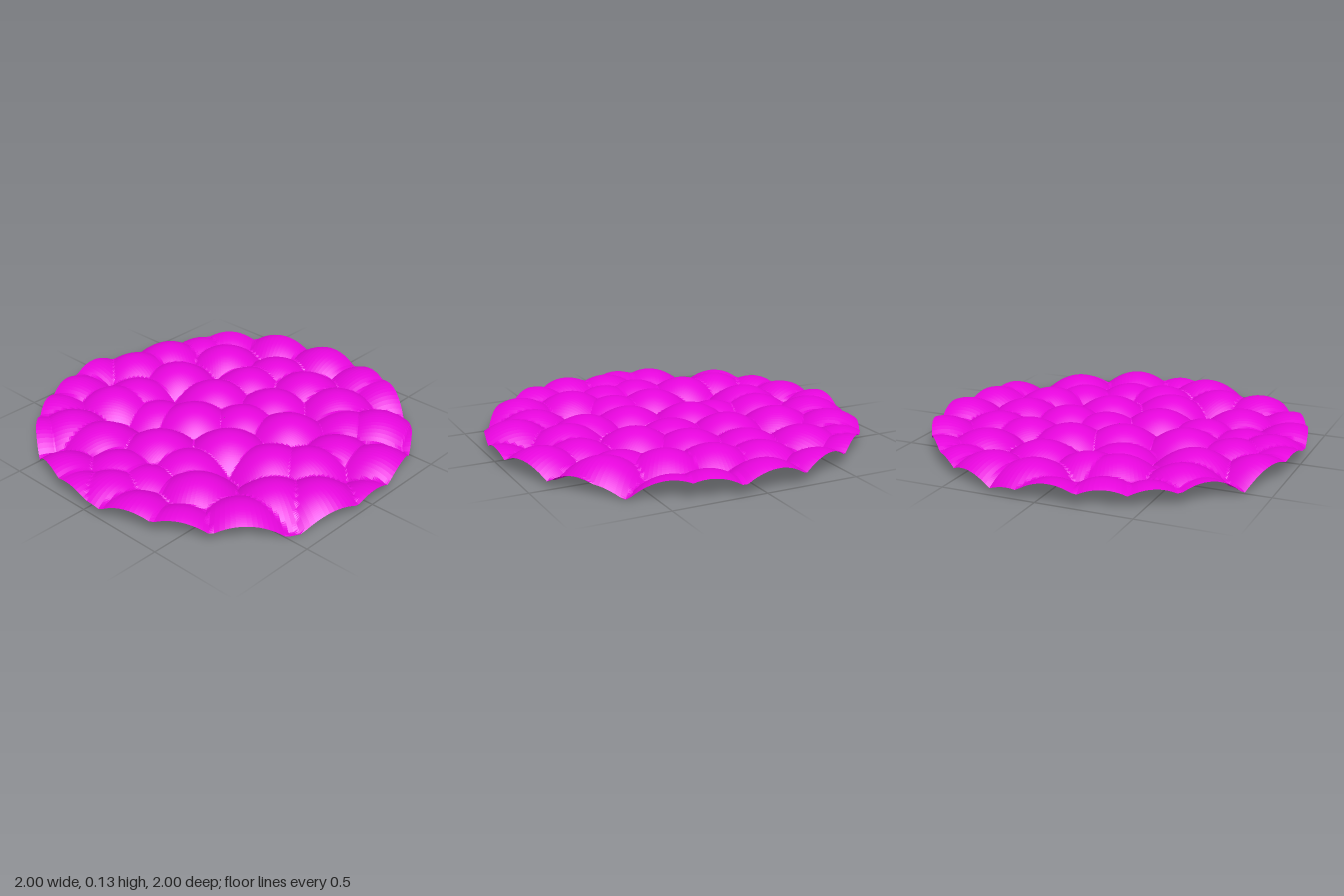
import * as THREE from 'three';
import { mergeVertices } from 'three/addons/utils/BufferGeometryUtils.js';

// Centres of the domes on the disc, as x, z and how far the crown sits below the top
const CENTRES = [
  [-0.29, -0.86, 0.02], [-0.06, -0.95, 0.025], [0.11, -0.80, 0], [0.35, -0.77, 0.005], [0.56, -0.70, 0.03],
  [0.73, -0.64, 0.02], [0.54, -0.49, 0], [0.19, -0.54, 0], [-0.25, -0.59, 0], [-0.09, -0.58, 0.01],
  [-0.58, -0.57, 0.005], [-0.50, -0.79, 0.03], [-0.72, -0.66, 0.03], [-0.56, -0.35, 0], [-0.16, -0.34, 0.035],
  [-0.08, -0.15, 0], [0.18, -0.24, 0], [0.44, -0.21, 0.01], [0.64, -0.18, 0.01], [0.91, -0.05, 0],
  [0.87, -0.37, 0.01], [0.60, 0.07, 0], [0.33, 0.06, 0.005], [0.10, 0.05, 0.015], [0.18, 0.30, 0],
  [0.57, 0.32, 0], [0.89, 0.25, 0.015], [-0.16, 0.18, 0], [-0.41, -0.08, 0], [-0.68, -0.10, 0.015],
  [-0.84, 0.02, 0.01], [-0.87, -0.28, 0.015], [-0.67, 0.10, 0.025], [-0.43, 0.15, 0.015], [-0.57, 0.35, 0],
  [-0.88, 0.25, 0.01], [-0.81, 0.47, 0.02], [-0.12, 0.45, 0], [-0.34, 0.66, 0.005], [-0.58, 0.65, 0.005],
  [-0.01, 0.60, 0], [0.20, 0.62, 0.015], [0.44, 0.50, 0.02], [0.53, 0.63, 0], [0.86, 0.42, 0.025],
  [-0.20, 0.82, 0], [0.25, 0.84, 0.005], [0.01, 0.97, 0.05], [0.62, 0.85, 0.045], [-0.93, -0.10, 0.025],
];
const TOP = 0.137, STEEPNESS = 2.3;

// Height of the highest dome over a point
function heightAt(x, z) {
  let drop = Infinity;
  for (const [cx, cz, sunk] of CENTRES) {
    drop = Math.min(drop, sunk + STEEPNESS * ((x - cx) ** 2 + (z - cz) ** 2));
  }
  return Math.max(0.005, TOP - drop);
}

export function createModel() {
  const group = new THREE.Group();
  group.name = 'bumpyDisc';

  // Flat disc of fine rings, lifted into a thin cobbled sheet
  let geometry = new THREE.RingGeometry(0.002, 1, 240, 120);
  geometry.rotateX(-Math.PI / 2);
  geometry.deleteAttribute('uv');
  geometry.deleteAttribute('normal');
  geometry = mergeVertices(geometry, 1e-5);
  const p = geometry.attributes.position;
  for (let i = 0; i < p.count; i++) p.setY(i, heightAt(p.getX(i), p.getZ(i)));
  geometry.computeVertexNormals();

  // Fine facets keep the valleys between the domes crisp
  const material = new THREE.MeshStandardMaterial({ color: 0xe605dc, side: THREE.DoubleSide, flatShading: true });
  const sheet = new THREE.Mesh(geometry, material);
  sheet.name = 'cobbledSheet';
  group.add(sheet);
  return group;
}
